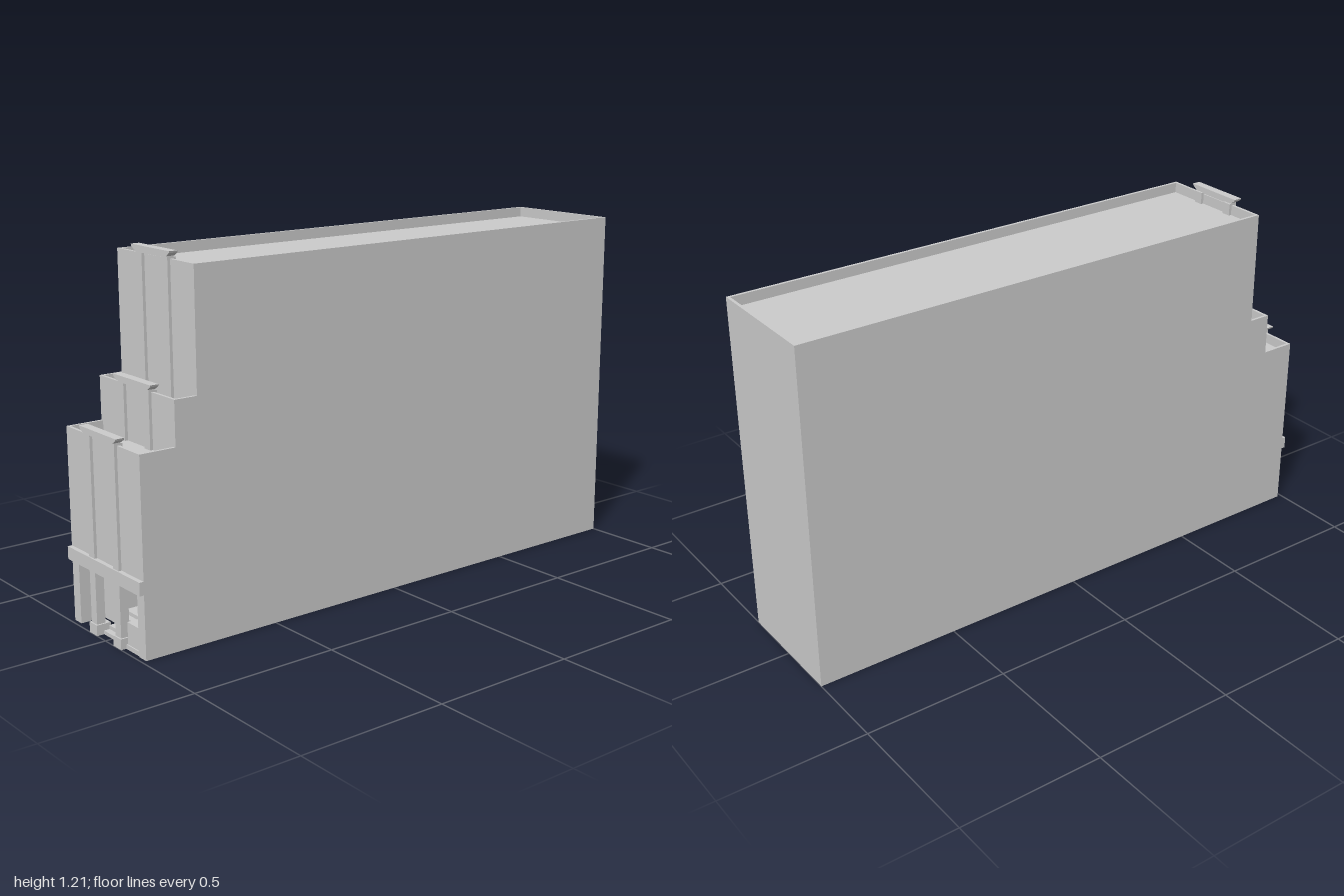
import * as THREE from 'three';

const material = new THREE.MeshStandardMaterial({ color: 0xcccccc, flatShading: true });

export function createModel() {
  const model = new THREE.Group();
  model.name = 'steppedBuilding';

  const add = (name, geometry) => {
    const mesh = new THREE.Mesh(geometry, material);
    mesh.name = name;
    model.add(mesh);
    return mesh;
  };
  // Box given by its limits on each axis
  const box = (name, x0, x1, y0, y1, z0, z1) =>
    add(name, new THREE.BoxGeometry(x1 - x0, y1 - y0, z1 - z0)
      .translate((x0 + x1) / 2, (y0 + y1) / 2, (z0 + z1) / 2));

  const W = 0.215, T = 0.01, IN = W - T, BACK = -1, ROOF_DROP = 0.035;
  const tiers = [
    { base: 0.21, top: 0.645, front: 0.985 },
    { base: 0.645 - ROOF_DROP, top: 0.79, front: 0.86 },
    { base: 0.79 - ROOF_DROP, top: 1.185, front: 0.78 },
  ];

  // Side walls with the stepped outline, rising past the roofs as parapets
  const outline = new THREE.Shape();
  outline.moveTo(BACK, 0);
  outline.lineTo(tiers[0].front, 0);
  for (const [i, t] of tiers.entries()) {
    outline.lineTo(t.front, t.top);
    outline.lineTo(i < 2 ? tiers[i + 1].front : BACK, t.top);
  }
  for (const x of [-W, IN]) {
    const wall = new THREE.ExtrudeGeometry(outline, { depth: T, bevelEnabled: false });
    add('sideWall', wall.rotateY(-Math.PI / 2).translate(x + T, 0, 0).applyMatrix4(new THREE.Matrix4()))
      .geometry.computeVertexNormals();
    // Shape x becomes model z under this turn
  }

  // Back wall and the storeys with their sunken roofs
  box('backWall', -IN, IN, 0, 1.185, BACK, BACK + T);
  for (const t of tiers) {
    box('storeyCore', -IN, IN, t.base, t.top - ROOF_DROP, BACK + T, t.front - T);
    box('frontWall', -IN, IN, t.base, t.top, t.front - T, t.front);
  }

  // Ground floor: recessed bays on both sides of a deeper entrance
  box('groundCore', -IN, IN, 0, 0.21, BACK + T, 0.8);
  for (const s of [-1, 1]) {
    const a = s * 0.075, b = s * IN;
    box('shopBay', Math.min(a, b), Math.max(a, b), 0, 0.21, 0.8, 0.9);
    const c = s * 0.175;
    box('cornerPier', Math.min(c, b), Math.max(c, b), 0, 0.21, 0.94, 0.985);
  }

  // Band across the facade
  box('facadeBand', -W, W, 0.21, 0.253, 0.97, 1);

  // Flared cornice, wider at the top
  const cornice = (y, z) => {
    const s = new THREE.Shape();
    s.moveTo(-0.09, 0);
    s.lineTo(0.09, 0);
    s.lineTo(0.106, 0.011);
    s.lineTo(0.108, 0.017);
    s.lineTo(-0.108, 0.017);
    s.lineTo(-0.106, 0.011);
    s.closePath();
    const g = new THREE.ExtrudeGeometry(s, { depth: 0.03, bevelEnabled: false });
    add('cornice', g.translate(0, y, z - 0.015));
  };

  // Pilasters, lintel and cornice on each tier
  tiers.forEach((t, i) => {
    const y0 = i ? tiers[i - 1].top - ROOF_DROP : 0.03;
    for (const s of [-1, 1]) {
      const x = s * 0.0725;
      box('pilaster', x - 0.0165, x + 0.0165, y0, t.top + 0.006, t.front - 0.02, t.front + 0.01);
    }
    box('lintel', -0.089, 0.089, t.top + 0.003, t.top + 0.012, t.front - 0.012, t.front + 0.01);
    cornice(t.top + 0.009, t.front);
  });

  // Plinths beneath the pilasters
  for (const s of [-1, 1]) {
    const x = s * 0.0725;
    box('plinth', x - 0.0225, x + 0.0225, 0, 0.035, 0.95, 1);
  }

  // Entrance stairs and landing
  const steps = 5, rise = 0.0125, run = 0.02;
  for (let i = 0; i < steps; i++) {
    box('entranceStep', -0.052, 0.052, i * rise, (i + 1) * rise, 0.8, 0.975 - i * run);
  }

  // Raised box beside the entrance, on a low base
  box('forecourtBase', 0.097, 0.18, 0, 0.015, 0.9, 0.982);
  box('forecourtBox', 0.1, 0.175, 0.015, 0.088, 0.94, 0.978);

  return model;
}
